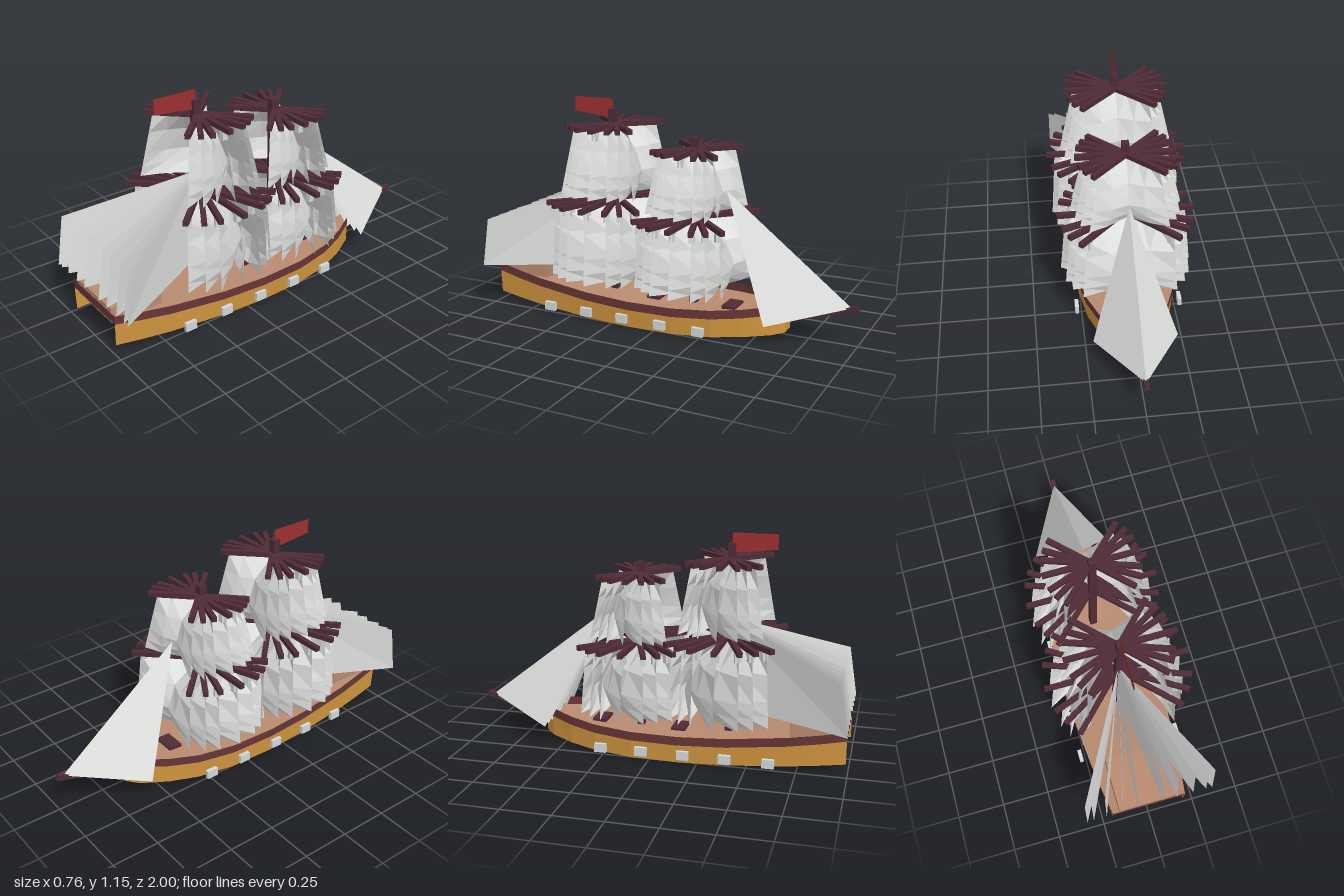
import * as THREE from 'three';

const mat = (name, color) => new THREE.MeshStandardMaterial({ name, color, flatShading: true, side: THREE.DoubleSide });

const M = {
  hull: mat('ochre planking', 0xd2963f),
  rail: mat('red brown rail', 0x663536),
  deck: mat('tan deck', 0xb98b70),
  spar: mat('dark maroon wood', 0x4e2b36),
  sail: mat('pale canvas', 0xdfe1df),
  trim: mat('light grey fittings', 0xd2d9da),
  flag: mat('red flag', 0x9c3032),
};

function add(parent, name, geometry, material, x = 0, y = 0, z = 0) {
  const mesh = new THREE.Mesh(geometry, material);
  mesh.name = name;
  mesh.position.set(x, y, z);
  parent.add(mesh);
  return mesh;
}

const box = (w, h, d) => new THREE.BoxGeometry(w, h, d);

// Surface through rows of [x, y, z] points
function skin(rows) {
  const n = rows[0].length, index = [];
  for (let i = 0; i < rows.length - 1; i++) {
    for (let j = 0; j < n - 1; j++) {
      const a = i * n + j, b = a + n;
      index.push(a, b, a + 1, b, b + 1, a + 1);
    }
  }
  const indexed = new THREE.BufferGeometry();
  indexed.setAttribute('position', new THREE.Float32BufferAttribute(rows.flat(2), 3));
  indexed.setIndex(index);
  const g = indexed.toNonIndexed();
  g.computeVertexNormals();
  return g;
}

// Hull stations [z, half width], stern to bow, and the curves of sheer and keel edge
const stations = [[0.99, 0.2], [0.85, 0.22], [0.7, 0.238], [0.4, 0.262], [0.15, 0.27], [-0.1, 0.262],
  [-0.3, 0.228], [-0.45, 0.172], [-0.58, 0.1], [-0.635, 0.04]];
const railTop = z => 0.14 + 0.088 * (z - 0.05) ** 2;
const railBottom = z => railTop(z) - 0.046;
const hullBottom = z => 0.055 * (z - 0.05) ** 2;

function buildHull(ship) {
  const outline = [...stations.map(([z, w]) => [w, z]), ...stations.map(([z, w]) => [-w, z]).reverse()];
  const ring = (height, k) => outline.map(([x, z]) => [x * k, height(z), z]);

  // Open-sterned planking, rail closed across the stern, deck at the rail foot
  add(ship, 'hullPlanking', skin([ring(hullBottom, 0.97), ring(railBottom, 1)]), M.hull);
  const closed = r => [...r, r[0]];
  add(ship, 'rail', skin([closed(ring(railBottom, 1.002)), closed(ring(railTop, 1.002))]), M.rail);
  add(ship, 'deck', skin([1, -1].map(s => stations.map(([z, w]) => [s * w, railBottom(z), z]))), M.deck);
  add(ship, 'quarterDeck', box(0.325, 0.08, 0.28), M.deck, 0, 0.197, 0.845);

  for (const z of [0.105, -0.33]) add(ship, 'hatch', box(0.12, 0.022, 0.075), M.spar, 0, railBottom(z) + 0.004, z);

  for (const side of [-1, 1]) {
    for (const z of [0.615, 0.395, 0.18, -0.04, -0.255]) {
      add(ship, 'gunPort', box(0.02, 0.046, 0.062), M.trim, side * 0.275, 0.046, z);
    }
  }

  const bowsprit = add(ship, 'bowsprit', box(0.026, 0.028, 0.41), M.spar, 0, 0.14, -0.8);
  bowsprit.rotation.x = Math.atan2(0.115, 0.38);
}

// Square sail hanging from a yard and bellying forward
function squareSail(topHalf, bottomHalf, yTop, yBottom, belly) {
  const rows = [];
  for (const v of [0, 0.3, 0.65, 0.85, 1]) {
    const row = [];
    for (let j = 0; j <= 6; j++) {
      const u = j / 3 - 1;
      const half = topHalf + (bottomHalf - topHalf) * v;
      const z = -belly * (1 - u * u) * Math.sin(Math.PI * 0.8 * v);
      row.push([u * half, yTop + (yBottom - yTop) * v, z]);
    }
    rows.push(row);
  }
  return skin(rows);
}

// Swing positions of the rig, from -1 to 1
const fan = [-1, -0.7, -0.43, 0, 0.43, 0.7, 1];

// Fan of yards, each carrying a sail and a pair of blocks
function buildYards(ship, name, z, y, half, sail, blockRadius, blocksOnAll) {
  const yardGeo = box(half * 2, 0.026, 0.026);
  const blockGeo = box(0.028, 0.045, 0.028);
  for (const t of fan) {
    const g = new THREE.Group();
    g.name = name;
    g.position.z = z;
    g.rotation.y = t * Math.PI / 4;
    add(g, 'yard', yardGeo, M.spar, 0, y, 0);
    add(g, 'squareSail', sail, M.sail);
    if (blocksOnAll || t === 0) {
      for (const s of [-1, 1]) add(g, 'block', blockGeo, M.trim, s * blockRadius, y - 0.035, 0);
    }
    ship.add(g);
  }
}

function buildRig(ship) {
  const mainZ = 0.367, foreZ = -0.11;
  add(ship, 'mainMast', box(0.038, 1.07, 0.038), M.spar, 0, 0.56, mainZ);
  add(ship, 'foreMast', box(0.038, 0.955, 0.038), M.spar, 0, 0.5025, foreZ);

  buildYards(ship, 'mainLowerYard', 0.352, 0.618, 0.38, squareSail(0.335, 0.362, 0.61, 0.222, 0.2), 0.31, true);
  buildYards(ship, 'mainUpperYard', 0.352, 1.013, 0.27, squareSail(0.225, 0.303, 1.005, 0.66, 0.13), 0.21, false);
  buildYards(ship, 'foreLowerYard', -0.124, 0.565, 0.355, squareSail(0.31, 0.345, 0.56, 0.213, 0.19), 0.29, true);
  buildYards(ship, 'foreUpperYard', -0.124, 0.918, 0.253, squareSail(0.21, 0.285, 0.91, 0.602, 0.12), 0.195, false);

  // Fore-and-aft sails spreading from the main mast to a level after edge
  for (const reach of [0.07, 0.147, 0.236, 0.306, 0.34]) {
    for (const x of [-reach, reach]) {
      add(ship, 'spanker', skin([
        [[0, 0.235, mainZ], [x, 0.24, 1]],
        [[0, 0.715, mainZ], [x, 0.505, 0.957]],
      ]), M.sail);
    }
  }

  // Triangular headsails sharing one stay
  for (const t of fan) {
    const clewX = 0.304 * Math.sin(t * Math.PI / 4);
    const jib = new THREE.BufferGeometry();
    jib.setAttribute('position', new THREE.Float32BufferAttribute(
      [0, 0.72, -0.29, 0, 0.195, -0.963, clewX, 0.108, -0.582], 3));
    jib.computeVertexNormals();
    add(ship, 'jib', jib, M.sail);
  }

  // Flag streaming aft
  add(ship, 'flag', skin([
    [[0, 1.045, mainZ], [0, 1.07, 0.598]],
    [[0, 1.148, mainZ], [0, 1.148, 0.598]],
  ]), M.flag);
}

export function createModel() {
  const ship = new THREE.Group();
  ship.name = 'sailingShip';
  buildHull(ship);
  buildRig(ship);
  return ship;
}
